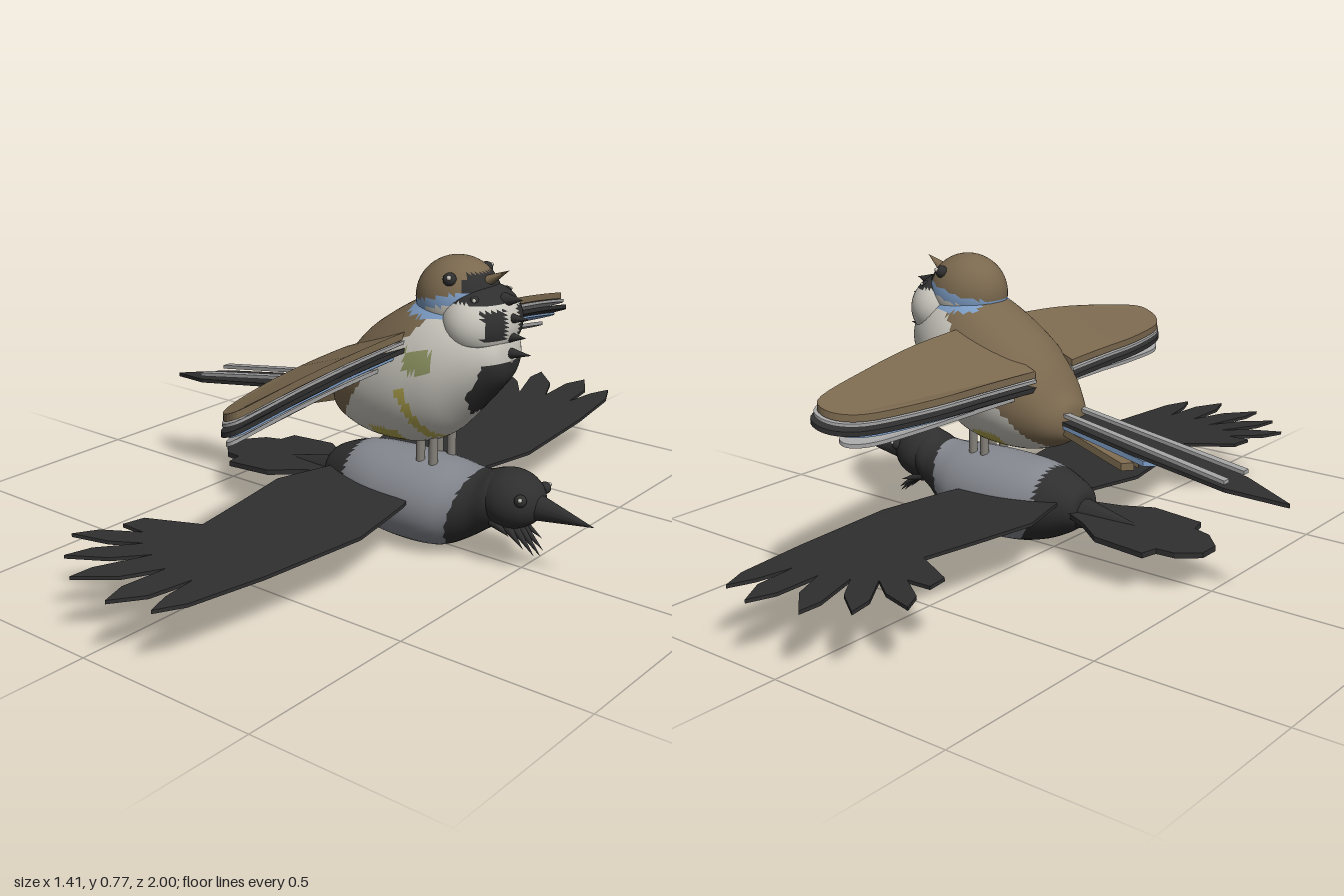
import * as THREE from 'three';

const mat = (name, color) => {
  const m = new THREE.MeshStandardMaterial({ color });
  m.name = name;
  return m;
};

export function createModel() {
  const black = mat('black', 0x2f2f30), grey = mat('slate grey', 0x85888f), brown = mat('brown', 0x7a684e);
  const cream = mat('cream', 0xcac7be), yellow = mat('yellow', 0xb5a850), olive = mat('olive', 0x8f9663);
  const blue = mat('blue', 0x7c9cc4), silver = mat('silver', 0xa3a3a3), legGrey = mat('leg grey', 0x85817a);
  const model = new THREE.Group();
  const crow = new THREE.Group(), songbird = new THREE.Group();
  crow.name = 'lowerBird';
  songbird.name = 'upperBird';
  model.add(crow, songbird);

  const add = (group, name, geometry, material, pos = [0, 0, 0]) => {
    geometry.clearGroups();
    const mesh = new THREE.Mesh(geometry, material);
    mesh.name = name;
    mesh.position.set(...pos);
    group.add(mesh);
    return mesh;
  };

  // Split a surface into one mesh per colour by a rule on its face centres
  const addPainted = (group, name, geo, rule) => {
    const p = geo.attributes.position, idx = geo.index.array, faces = new Map();
    for (let i = 0; i < idx.length; i += 3) {
      const c = new THREE.Vector3();
      for (let k = 0; k < 3; k++) c.add(new THREE.Vector3().fromBufferAttribute(p, idx[i + k]));
      c.divideScalar(3);
      const m = rule(c.x, c.y, Math.abs(c.z));
      if (!faces.has(m)) faces.set(m, []);
      faces.get(m).push(idx[i], idx[i + 1], idx[i + 2]);
    }
    for (const [m, list] of faces) {
      // Copy only the corners this colour uses, with their smooth normals
      const part = geo.clone().setIndex(list).toNonIndexed();
      add(group, `${name} ${m.name}`, part, m);
    }
  };

  // Loft of elliptical sections along x: [x, bottom, top, halfWidth]
  const loft = (sections, rings, sides) => {
    const a = new THREE.CatmullRomCurve3(sections.map((s) => new THREE.Vector3(s[0], s[1], s[2])), false, 'catmullrom');
    const b = new THREE.CatmullRomCurve3(sections.map((s) => new THREE.Vector3(s[3], 0, 0)), false, 'catmullrom');
    const pos = [], idx = [];
    for (let i = 0; i <= rings; i++) {
      const s = a.getPoint(i / rings), w = b.getPoint(i / rings).x;
      for (let j = 0; j < sides; j++) {
        const t = (j / sides) * Math.PI * 2;
        pos.push(s.x, (s.y + s.z) / 2 + ((s.z - s.y) / 2) * Math.cos(t), w * Math.sin(t));
        if (i === rings) continue;
        const k = i * sides + j, n = i * sides + ((j + 1) % sides);
        idx.push(k, n, k + sides, n, n + sides, k + sides);
      }
    }
    const geo = new THREE.BufferGeometry();
    geo.setAttribute('position', new THREE.Float32BufferAttribute(pos, 3));
    geo.setIndex(idx);
    geo.computeVertexNormals();
    return geo;
  };

  // Thin plate from an (x, z) outline, bent to the height rule
  const plate = (points, thick, height, smooth = false) => {
    const v = points.map(([x, z]) => new THREE.Vector2(x, z));
    const shape = new THREE.Shape(smooth ? new THREE.SplineCurve(v).getPoints(36) : v);
    const geo = new THREE.ExtrudeGeometry(shape, { depth: thick, bevelEnabled: false });
    geo.rotateX(Math.PI / 2);
    const p = geo.attributes.position;
    for (let i = 0; i < p.count; i++) p.setY(i, p.getY(i) + thick / 2 + height(p.getX(i), Math.abs(p.getZ(i))));
    geo.computeVertexNormals();
    return geo;
  };

  // Cone from a base point to a tip, optionally widened or squashed in z
  const spike = (group, name, from, to, r, material, flat = 1) => {
    const a = new THREE.Vector3(...from), d = new THREE.Vector3(...to).sub(a);
    const geo = new THREE.ConeGeometry(r, d.length(), 12);
    geo.translate(0, d.length() / 2, 0).scale(1, 1, flat);
    add(group, name, geo, material, from).quaternion.setFromUnitVectors(new THREE.Vector3(0, 1, 0), d.normalize());
  };
  const ball = (rx, ry, rz, pos) => new THREE.SphereGeometry(1, 40, 30).scale(rx, ry, rz).translate(...pos);
  const eyes = (group, x, y, z, r) => {
    for (const s of [1, -1]) {
      add(group, 'eye', new THREE.SphereGeometry(r, 14, 10), black, [x, y, s * z]);
      add(group, 'eyeGlint', new THREE.SphereGeometry(r * 0.35, 8, 6), cream, [x + r * 0.4, y + r * 0.4, s * (z + r * 0.75)]);
    }
  };

  // ---- Lower bird: grey body with black hood, tail and wings ----
  const crowBody = loft([[-0.105, 0.135, 0.14, 0.002], [-0.1, 0.09, 0.185, 0.055], [-0.05, 0.052, 0.214, 0.085],
    [0.02, 0.022, 0.235, 0.112], [0.1, 0.005, 0.241, 0.13], [0.2, 0.001, 0.243, 0.133], [0.28, 0.01, 0.24, 0.125],
    [0.34, 0.04, 0.235, 0.105], [0.39, 0.075, 0.238, 0.085], [0.44, 0.11, 0.25, 0.075], [0.49, 0.16, 0.2, 0.03]], 50, 36);
  addPainted(crow, 'crowBody', crowBody, (x, y) =>
    (x < Math.max(0, 0.1 - y) * 0.9 || x > 0.335 + (y - 0.12) * 0.3 ? black : grey));
  add(crow, 'crowHead', ball(0.09, 0.076, 0.08, [0.465, 0.182, 0]), black);
  spike(crow, 'crowBeak', [0.525, 0.176, 0], [0.702, 0.163, 0], 0.038, black, 0.85);
  eyes(crow, 0.525, 0.205, 0.056, 0.016);
  for (let i = -3; i <= 3; i++) {
    spike(crow, 'throatFeather', [0.475 - 0.004 * i * i, 0.125, i * 0.014],
      [0.555 - 0.006 * i * i, 0.045 + 0.007 * i * i, i * 0.022], 0.015, black);
  }

  // Wing outline ending in separate finger feathers
  const wing = [[0.2, 0.05], [0.24, 0.15], [0.28, 0.37], [0.255, 0.68], [0.225, 0.89], [0.19, 0.965], [0.165, 0.9],
    [0.15, 0.8], [0.135, 0.92], [0.085, 1], [0.06, 0.93], [0.065, 0.8], [0.02, 0.9], [-0.06, 0.975], [-0.06, 0.91],
    [-0.01, 0.77], [-0.07, 0.85], [-0.155, 0.91], [-0.14, 0.84], [-0.07, 0.74], [-0.14, 0.79], [-0.235, 0.82],
    [-0.205, 0.76], [-0.12, 0.7], [-0.19, 0.7], [-0.18, 0.64], [-0.05, 0.57], [-0.08, 0.4], [-0.11, 0.235], [-0.06, 0.05]];
  for (const s of [1, -1]) {
    add(crow, 'crowWing', plate(wing.map(([x, z]) => [x, z * s]), 0.009,
      (x, z) => 0.155 - 0.03 * x + 0.02 * Math.max(0, z - 0.5)), black);
  }
  const halfTail = [[-0.05, 0.075], [-0.1, 0.06], [-0.16, 0.085], [-0.235, 0.137], [-0.38, 0.137], [-0.39, 0.09], [-0.44, 0.08], [-0.49, 0.03]];
  const mirrored = (half) => [...half, ...half.map(([x, z]) => [x, -z]).reverse()];
  add(crow, 'crowTail', plate(mirrored(halfTail), 0.014, (x) => 0.133 + 0.06 * x), black);
  spike(crow, 'tailBase', [-0.06, 0.12, 0], [-0.3, 0.118, 0], 0.05, black);

  // ---- Upper bird: egg-shaped body with brown back and black bib ----
  const body = loft([[-0.075, 0.37, 0.38, 0.002], [-0.068, 0.325, 0.415, 0.05], [-0.04, 0.302, 0.45, 0.085],
    [0, 0.286, 0.51, 0.115], [0.05, 0.274, 0.565, 0.14], [0.1, 0.27, 0.603, 0.155], [0.15, 0.271, 0.635, 0.163],
    [0.2, 0.277, 0.663, 0.165], [0.25, 0.292, 0.685, 0.16], [0.3, 0.324, 0.69, 0.15], [0.35, 0.378, 0.68, 0.13],
    [0.4, 0.435, 0.65, 0.1], [0.44, 0.485, 0.6, 0.06], [0.452, 0.53, 0.54, 0.003]], 66, 56);
  addPainted(songbird, 'body', body, (x, y, z) => {
    if (x > 0.3 && y < 0.535 && y > 0.385 && z < 0.085 * Math.min(1, (y - 0.36) / 0.08)) return black;
    if (y > 0.635 && y < 0.67 && x > 0.2 && z > 0.04) return blue;
    if (y > 0.33 + 1.25 * (x - 0.01) - 0.25 * Math.max(0, x - 0.15)) return brown;
    if (x > 0.24 && x < 0.31 && y > 0.505 && y < 0.56) return olive;
    if (y > 0.31 && y < 0.46 && Math.abs(x - 0.25 + (y - 0.38) * 0.3) < 0.013) return yellow;
    if (x > 0.1 && x < 0.19 && y > 0.282 && y < 0.325 + 0.1 * (x - 0.1)) return yellow;
    return cream;
  });

  // Head with brown cap, pale cheeks and dark face markings
  addPainted(songbird, 'cap', ball(0.11, 0.104, 0.1, [0.292, 0.671, 0]), (x, y) => {
    if (x > 0.35 && y > 0.7 && y < 0.745) return black;
    const edge = 0.665 + 0.25 * (x - 0.2);
    if (y > edge) return brown;
    return y > edge - 0.025 ? blue : cream;
  });
  addPainted(songbird, 'face', ball(0.093, 0.095, 0.118, [0.362, 0.623, 0]), (x, y, z) => {
    if (x > 0.38 && y > 0.595 && y < 0.665 && z > 0.025 && z < 0.085) return black;
    if (y > 0.68 && x > 0.33 && z < 0.09) return black;
    if (x > 0.37 && y < 0.585 && y > 0.55) return silver;
    return cream;
  });
  eyes(songbird, 0.318, 0.732, 0.078, 0.017);
  eyes(songbird, 0.385, 0.685, 0.068, 0.014);
  spike(songbird, 'capPeak', [0.345, 0.705, 0], [0.437, 0.757, 0], 0.022, brown, 1.5);
  for (const [y, tip] of [[0.69, 0.478], [0.645, 0.497], [0.598, 0.49], [0.558, 0.507]]) {
    spike(songbird, 'faceSpike', [0.425, y - 0.006, 0], [tip, y, 0], 0.019, black);
  }

  // Layered wings, leading edge high, drooping slightly to the tips
  const outline = [[0.0, 0.08], [0.015, 0.25], [0.035, 0.42], [0.075, 0.59], [0.115, 0.665], [0.16, 0.69], [0.19, 0.66],
    [0.205, 0.5], [0.22, 0.3], [0.225, 0.08]];
  // name, material, thickness, drop, width, shift, span
  const layers = [['upperWing', brown, 0.018, 0, 1, 0, 0.985], ['wingLining', silver, 0.008, -0.016, 1.05, 0.002, 0.995],
    ['flightFeathers', black, 0.012, -0.036, 1.09, 0.004, 1.005], ['blueFeathers', blue, 0.006, -0.05, 0.9, -0.002, 0.96],
    ['underWing', silver, 0.01, -0.07, 0.62, -0.015, 0.945]];
  for (const s of [1, -1]) {
    for (const [name, m, thick, drop, width, shift, span] of layers) {
      const pts = outline.map(([x, z]) => [0.11 + (x - 0.11) * width + shift, z * span * s]);
      add(songbird, name, plate(pts, thick, (x, z) => 0.5 + drop + 0.4 * x - 0.055 * (z / 0.69) ** 2, true), m);
    }
  }

  // Tail: long dark centre, silver edge feathers, short brown and blue coverts
  add(songbird, 'tailFeathers', plate(mirrored([[-0.02, 0.05], [-0.3, 0.06], [-0.56, 0.055], [-0.708, 0.002]]), 0.01,
    (x) => 0.383 + 0.155 * x), black);
  const tailParts = [
    ['tailEdge', silver, [[-0.05, 0.025], [-0.56, 0.035], [-0.56, 0.058], [-0.05, 0.045]], 0.01, 0.403, 0.155],
    ['tailCovertBlue', blue, [[-0.03, 0.01], [-0.34, 0.015], [-0.32, 0.05], [-0.03, 0.05]], 0.014, 0.378, 0.2],
    ['tailCovertBrown', brown, [[-0.03, 0.005], [-0.265, 0.01], [-0.25, 0.045], [-0.03, 0.045]], 0.02, 0.37, 0.32]];
  for (const s of [1, -1]) {
    for (const [name, m, pts, thick, y, slope] of tailParts) {
      add(songbird, name, plate(pts.map(([x, z]) => [x, z * s]), thick, (x) => y + slope * x), m);
    }
    // Legs standing on the lower bird's back
    for (const x of [0.21, 0.25]) {
      add(songbird, 'leg', new THREE.CylinderGeometry(0.012, 0.012, 0.12, 12), legGrey, [x, 0.265, s * 0.04]);
    }
  }
  return model;
}
